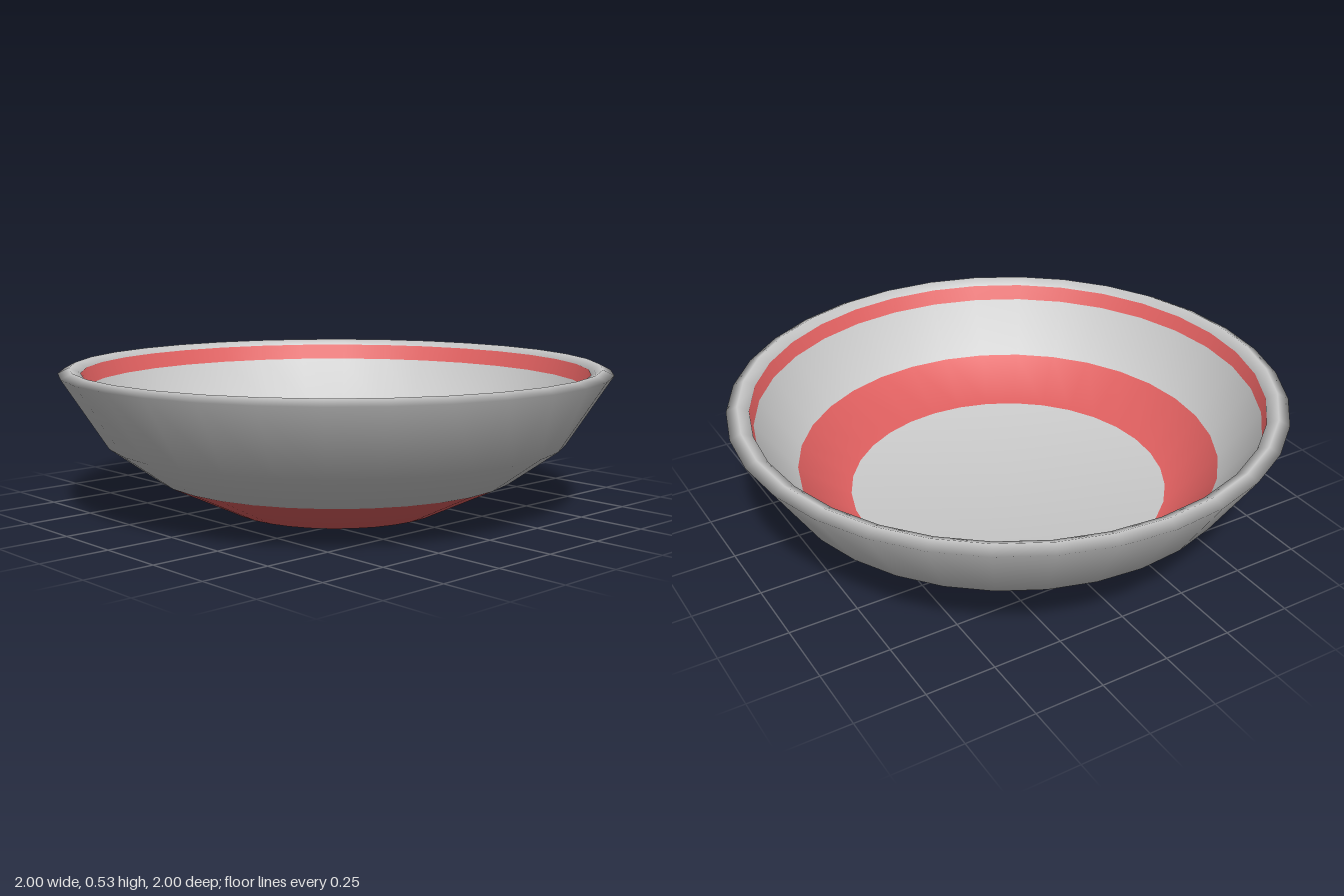
import * as THREE from 'three';

const SEGMENTS = 32;

// Closed cross-section: under the base, up the outside, over the rim, down the inside
const PROFILE = [
  [0, 0], [0.39, 0], [0.66, 0.13], [0.84, 0.26], [1, 0.51],
  [0.96, 0.53], [0.92, 0.51], [0.91, 0.45], [0.77, 0.26], [0.585, 0.13], [0, 0.13],
];

// Named parts, each covering profile strips from..to
const PARTS = [
  { name: 'base', from: 0, to: 1, color: 0xcccccc },
  { name: 'outerBand', from: 1, to: 2, color: 0xe06060 },
  { name: 'outerWall', from: 2, to: 4, color: 0xcccccc },
  { name: 'rim', from: 4, to: 6, color: 0xcccccc },
  { name: 'innerRimBand', from: 6, to: 7, color: 0xe06060 },
  { name: 'innerWall', from: 7, to: 8, color: 0xcccccc },
  { name: 'innerLowerBand', from: 8, to: 9, color: 0xe06060 },
  { name: 'floor', from: 9, to: 10, color: 0xcccccc },
];

export function createModel() {
  const bowl = new THREE.Group();
  bowl.name = 'bowl';

  // One lathe, so normals stay smooth across the coloured bands
  const lathe = new THREE.LatheGeometry(PROFILE.map(([r, y]) => new THREE.Vector2(r, y)), SEGMENTS);
  const faces = Array.from(lathe.index.array);
  const strips = PROFILE.length - 1;

  for (const { name, from, to, color } of PARTS) {
    const index = [];
    for (let s = 0; s < SEGMENTS; s++) {
      const start = s * strips;
      index.push(...faces.slice((start + from) * 6, (start + to) * 6));
    }
    const geometry = lathe.clone().setIndex(index).toNonIndexed();
    const mesh = new THREE.Mesh(geometry, new THREE.MeshStandardMaterial({ color }));
    mesh.name = name;
    bowl.add(mesh);
  }
  return bowl;
}
